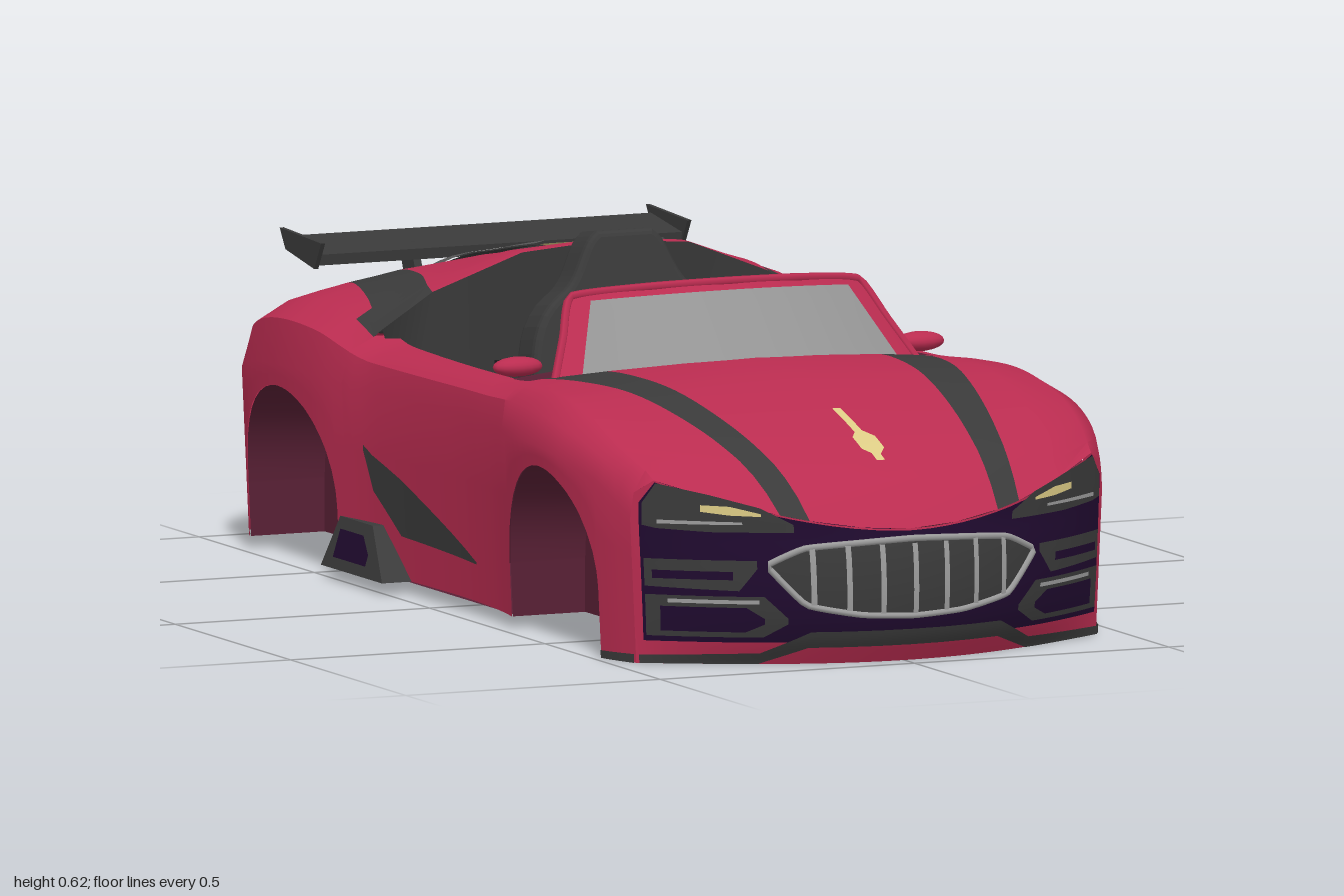
import * as THREE from 'three';
import { toCreasedNormals } from 'three/addons/utils/BufferGeometryUtils.js';

const paint = (name, color) => {
  const m = new THREE.MeshStandardMaterial({ color, side: THREE.DoubleSide });
  m.name = name;
  return m;
};
const red = paint('red', 0xba2c50), dark = paint('charcoal', 0x3a3a3a), maroon = paint('maroon', 0x592035),
  purple = paint('deep purple', 0x1f0a2e), glass = paint('glass grey', 0x949494), silver = paint('silver', 0x9c9c9c),
  blue = paint('blue', 0x2468b4), gold = paint('pale gold', 0xdccb85), yellow = paint('plate yellow', 0x947010),
  black = paint('black', 0x1c1c1e);

// smooth curve through ascending [t, value] pairs
const curve = (...p) => t => {
  const n = p.length - 1;
  if (t <= p[0][0]) return p[0][1];
  if (t >= p[n][0]) return p[n][1];
  const i = p.findIndex((q, j) => t < p[j + 1][0]);
  const slope = j => {
    const a = p[Math.max(j - 1, 0)], b = p[Math.min(j + 1, n)];
    return (b[1] - a[1]) / (b[0] - a[0]);
  };
  const h = p[i + 1][0] - p[i][0], u = (t - p[i][0]) / h, u2 = u * u, u3 = u2 * u;
  return (2 * u3 - 3 * u2 + 1) * p[i][1] + (u3 - 2 * u2 + u) * h * slope(i)
    + (3 * u2 - 2 * u3) * p[i + 1][1] + (u3 - u2) * h * slope(i + 1);
};

// body lines along the flank (z)
const NOSE = 0.79, TAIL = -0.94, OPEN = [-0.4, 0.14], ARCHES = [0.5, -0.63], R = 0.2, HUB = 0.13;
const W = curve([-.94, .43], [-.9, .46], [-.8, .5], [-.65, .515], [-.5, .508], [-.3, .477], [0, .465], [.2, .475], [.4, .505], [.55, .515], [.65, .505], [.73, .487], [.79, .464]);
const ridge = curve([-.94, .39], [-.9, .418], [-.8, .478], [-.65, .535], [-.5, .575], [-.4, .602], [.14, .465], [.25, .472], [.42, .455], [.58, .41], [.7, .352], [.755, .3], [.79, .25]);
const crestX = curve([-.94, .37], [-.8, .43], [-.65, .45], [-.4, .435], [0, .425], [.25, .43], [.5, .45], [.65, .45], [.79, .43]);
const crestY = curve([-.94, .36], [-.8, .443], [-.65, .483], [-.5, .48], [-.4, .445], [-.32, .432], [.14, .432], [.3, .445], [.45, .447], [.6, .42], [.7, .385], [.79, .34]);
const waistY = curve([-.94, .3], [-.8, .35], [-.6, .37], [-.3, .36], [.5, .365], [.7, .33], [.79, .27]);
const swell = curve([-.9, .012], [-.7, .024], [-.5, .022], [-.35, .012]);
const bow = curve([-.94, -.03], [-.8, -.015], [-.6, 0], [-.5, .025], [-.4, .07], [.1, 0], [.25, .07], [.5, .1], [.66, .14], [.79, .195]);
const stripeIn = curve([-.94, .21], [-.8, .24], [-.5, .3], [-.4, .33], [.2, .27], [.5, .235], [.79, .185]);
const stripeOut = curve([-.94, .28], [-.8, .32], [-.5, .4], [-.4, .42], [.2, .37], [.5, .31], [.79, .235]);

const sill = z => {
  for (const c of ARCHES) if (Math.abs(z - c) <= R) return HUB + Math.sqrt(R * R - (z - c) ** 2);
  return z > .7 ? .008 : .03;
};
const sideX = (z, y) => W(z) - .014 * Math.max(waistY(z) - y, 0) / .3;
const topY = (x, z) => crestY(z) + (ridge(z) - crestY(z)) * (1 - (Math.abs(x) / crestX(z)) ** (z > 0 ? 1.8 : 2.5));
const shoulder = z => [(crestX(z) + W(z)) / 2 + swell(z), (crestY(z) + waistY(z)) / 2 + swell(z)];

// half cross-section, centre line to sill; the open one dips into the cockpit
function section(z, open) {
  const w = W(z), b = sill(z), xf = crestX(z), yf = crestY(z), yw = Math.max(waistY(z), b + .02);
  const xi = stripeIn(z), xo = stripeOut(z), k = open ? 0 : bow(z), ym = (yw + Math.max(b, HUB)) / 2;
  const upper = open ? [[0, .06], [.2, .06], [.34, .08], [.36, .28], [.385, yf]]
    : [0, xi / 2, xi, xo, (xo + xf) / 2].map(x => [x, topY(x, z)]);
  const lower = [[w, yw], [sideX(z, ym), ym], [sideX(z, b), b]];
  return [...[...upper, [xf, yf], shoulder(z)].map(([x, y]) => [x, y, z + k * (1 - (x / w) ** 2)]),
    ...lower.map(([x, y]) => [x, y, z])];
}

// shell materials: red, charcoal stripe and bulkhead, maroon tub, purple dashboard
function shellColour(c, z) {
  if (z > OPEN[0] && z < OPEN[0] + .001) return c < 4 ? 1 : 0;
  if (z > OPEN[0] && z < OPEN[1] - .001) return c < 4 ? 2 : 0;
  if (z > 0 && z < OPEN[1]) return c < 4 ? 3 : 0;
  if (z > 0 && z < .2) return c < 4 ? 2 : 0;
  if (z < OPEN[0] && z > -.46 && c > 2 && c < 5) return 1;
  return c === 2 && z > -.84 ? 1 : 0;
}
function bodyShell() {
  const stations = [];
  for (let i = 0; i <= 58; i++) stations.push(TAIL + (NOSE - TAIL) * i / 58);
  for (const c of ARCHES) {
    stations.push(c - R - .001, c + R + .001);
    for (let i = 0; i <= 18; i++) stations.push(c + .1999 * Math.cos(Math.PI * i / 18));
  }
  const rows = stations.map(z => [z, z > OPEN[0] && z < OPEN[1]]);
  rows.push([OPEN[0], false], [OPEN[0] + .001, true], [OPEN[1] - .001, true], [OPEN[1], false]);
  rows.sort((a, b) => a[0] - b[0]);
  const pos = [], lists = [[], [], [], []];
  rows.forEach(([z, open], j) => {
    const half = section(z, open);
    pos.push(...half.slice(1).reverse().map(([x, y, q]) => [-x, y, q]).flat(), ...half.flat());
    if (!j) return;
    for (let i = 0; i < 18; i++) {
      const c = i < 9 ? 8 - i : i - 9, a = (j - 1) * 19 + i, d = a + 19;
      lists[shellColour(c, (z + rows[j - 1][0]) / 2)].push(a, d, a + 1, d, d + 1, a + 1);
    }
  });
  const g = new THREE.BufferGeometry();
  g.setAttribute('position', new THREE.Float32BufferAttribute(pos, 3));
  g.setIndex(lists.flat());
  let start = 0;
  lists.forEach((l, m) => { g.addGroup(start, l.length, m); start += l.length; });
  return toCreasedNormals(g, .7);
}

// surface strip: stations [a, low, high], laid on a surface by map(a, b)
function band(st, map, n = 6, rows = 6) {
  const pos = [], idx = [];
  let cols = 0;
  st.forEach((s, i) => {
    for (let k = i ? 1 : n; k <= n; k++, cols++) {
      const p = st[Math.max(i - 1, 0)], f = k / n, v = [0, 1, 2].map(q => p[q] + (s[q] - p[q]) * f);
      for (let r = 0; r <= rows; r++) pos.push(...map(v[0], v[1] + (v[2] - v[1]) * r / rows));
    }
  });
  for (let c = 0; c < cols - 1; c++) for (let r = 0; r < rows; r++) {
    const a = c * (rows + 1) + r, b = a + rows + 1;
    idx.push(a, b, a + 1, b, b + 1, a + 1);
  }
  const g = new THREE.BufferGeometry();
  g.setAttribute('position', new THREE.Float32BufferAttribute(pos, 3));
  g.setIndex(idx);
  g.computeVertexNormals();
  return g;
}

// curved end faces
const endFace = (z0, dir, bulge) => (lift, s = 1) => (x, y) => {
  const u = x / W(z0);
  return [s * x * sideX(z0, y) / W(z0), y, z0 + dir * (Math.abs(bow(z0)) * (1 - u * u) + bulge(y) * (1 - u ** 4) + lift)];
};
const front = endFace(NOSE, 1, curve([.01, -.03], [.06, 0], [.12, .012], [.2, .01], [.25, 0]));
const rear = endFace(TAIL, -1, curve([.03, 0], [.1, .018], [.22, .025], [.24, .015], [.32, .01], [.39, 0]));
const deck = (lift, s = 1) => (x, z) => [s * x, topY(x, z) + lift, z + bow(z) * (1 - (x / W(z)) ** 2)];
const flank = (lift, s) => (z, y) => [s * (sideX(z, y) + lift), y, z];
const screen = (u, v) => [u * (.355 - .075 * v), .455 + .14 * v - .015 * u * u, .325 - .135 * v - u * u * (.1 - .04 * v)];
const outline = pts => new THREE.Shape(pts.map(p => new THREE.Vector2(...p)));
// side-on outline [z, y] given a thickness towards -x
const sidePlate = (pts, depth) => new THREE.ExtrudeGeometry(outline(pts), { depth, bevelEnabled: false }).rotateY(-Math.PI / 2);

export function createModel() {
  const car = new THREE.Group();
  car.name = 'openSportsCar';
  const add = (name, geo, mat, x = 0, y = 0, z = 0) => {
    const m = new THREE.Mesh(geo, mat);
    m.name = name;
    m.position.set(x, y, z);
    car.add(m);
    return m;
  };
  const box = (x, y, z) => new THREE.BoxGeometry(x, y, z);
  add('bodyShell', bodyShell(), [red, dark, maroon, purple]);

  // end faces follow the last cross-sections
  const rim = (z, low) => {
    const st = [], w = W(z), xf = crestX(z), [sx, sy] = shoulder(z);
    for (let i = -12; i <= 12; i++) st.push([xf * i / 12, low, topY(xf * i / 12, z)]);
    return [[-w, low, waistY(z)], [-sx, low, sy], ...st, [sx, low, sy], [w, low, waistY(z)]];
  };
  add('frontBumper', band(rim(NOSE, .008), front(0), 2, 10), red);
  add('rearBumper', band(rim(TAIL, .03), rear(0), 2, 10), red);
  const mask = rim(NOSE, .05).slice(2, -2).map(([x, l, h]) => [x, l, h - .003]);
  add('noseMask', band([[-.453, .05, .3], ...mask, [.453, .05, .3]], front(.003), 2, 10), purple);
  add('underside', band([[-.965, -.2, .2], [-.94, -.41, .41], [-.831, -.46, .46], [-.83, -.33, .33], [-.43, -.33, .33], [-.429, -.46, .46],
    [.299, -.46, .46], [.3, -.33, .33], [.7, -.33, .33], [.701, -.47, .47], [.79, -.44, .44], [.88, -.31, .31], [.95, -.14, .14], [.965, -.02, .02]],
    (z, x) => [x, .03, z], 1, 1), maroon);

  // grille
  const grille = [[-.26, .185, .195], [-.2, .12, .222], [-.1, .1, .23], [0, .095, .234], [.1, .1, .23], [.2, .12, .222], [.26, .185, .195]];
  add('grille', band(grille, front(.006)), dark);
  const loop = [...grille.map(g => [g[0], g[2]]), ...grille.slice().reverse().map(g => [g[0], g[1]])];
  add('grilleFrame', new THREE.TubeGeometry(new THREE.CatmullRomCurve3(loop.map(p => new THREE.Vector3(...front(.008)(...p))), true, 'catmullrom', .2), 84, .006, 6, true), silver);
  for (let i = -3; i <= 3; i++) {
    const x = i * .063, lo = .1 + .02 * (x / .19) ** 2;
    add('grilleSlat', band([[x - .005, lo, .226], [x + .005, lo, .226]], front(.012), 1), silver);
  }
  add('splitter', band([[-.462, .009, .024], [-.27, .009, .03], [-.19, .04, .07], [.19, .04, .07], [.27, .009, .03], [.462, .009, .024]], front(.008)), dark);

  // windscreen and its frame
  add('windscreen', band([[-.88, .04, .9], [.88, .04, .9]], screen, 20), glass);
  add('screenFrameTop', band([[-1, .9, 1], [1, .9, 1]], screen, 20, 2), red);
  const edge = [[-1, -.05], [-1, .5], [-1, .97], [-.5, 1], [0, 1], [.5, 1], [1, .97], [1, .5], [1, -.05]].map(p => new THREE.Vector3(...screen(...p)));
  add('screenFrameRim', new THREE.TubeGeometry(new THREE.CatmullRomCurve3(edge, false, 'catmullrom', .2), 60, .008, 6), red);

  // trim on bonnet and engine cover
  add('bonnetTrim', band([[-.008, .55, .7], [.008, .55, .7]], deck(.005), 2), gold);
  add('bonnetTrimDiamond', band([[-.022, .645, .675], [0, .62, .695], [.022, .645, .675]], deck(.007)), gold);
  add('engineCoverTrim', band([[-.04, -.545, -.53], [0, -.595, -.53], [.04, -.545, -.53]], deck(.007)), gold);

  // tail
  add('tailPanel', band([[-.25, .345, .37], [-.1, .297, .38], [.1, .297, .38], [.25, .345, .37]], rear(.004)), dark);
  add('tailVent', band([[-.045, .335, .365], [.045, .335, .365]], rear(.007)), purple);
  add('numberPlate', band([[-.13, .215, .29], [.13, .215, .29]], rear(.006)), yellow);
  add('wing', box(.72, .02, .135), dark, 0, .535, -.862).rotation.x = .13;

  // seat, steering wheel
  const back = new THREE.Shape();
  back.moveTo(-.17, 0);
  back.bezierCurveTo(-.19, .2, -.2, .3, -.13, .35);
  back.bezierCurveTo(-.08, .38, -.08, .44, -.05, .46);
  back.lineTo(.05, .46);
  back.bezierCurveTo(.08, .44, .08, .38, .13, .35);
  back.bezierCurveTo(.2, .3, .19, .2, .17, 0);
  const seatBack = new THREE.ExtrudeGeometry(back, { depth: .055, bevelSize: .012, bevelThickness: .015, bevelSegments: 3 });
  add('seatBack', seatBack, dark, 0, .155, -.25).rotation.x = -.15;
  add('seatCushion', box(.4, .16, .26), dark, 0, .14, -.1);
  add('steeringWheel', new THREE.TorusGeometry(.07, .012, 8, 28), black, 0, .475, .085).rotation.x = .6;
  add('steeringSpoke', box(.13, .02, .012), black, 0, .475, .085).rotation.x = .6;
  add('steeringLowerSpoke', box(.05, .06, .014), blue, 0, .446, .066).rotation.x = .6;
  add('steeringHub', new THREE.CylinderGeometry(.025, .025, .025, 16), black, 0, .475, .083).rotation.x = .6 + Math.PI / 2;
  add('steeringColumn', new THREE.CylinderGeometry(.018, .025, .1, 12), dark, 0, .45, .125).rotation.x = .6 + Math.PI / 2;

  // intake scoop, leaning in towards its top
  const scoopGeo = sidePlate([[-.18, .03], [-.28, .12], [-.42, .12], [-.445, .03]], .07);
  const sp = scoopGeo.attributes.position;
  for (let i = 0; i < sp.count; i++) sp.setX(i, sp.getX(i) - .3 * (sp.getY(i) - .03));
  scoopGeo.computeVertexNormals();
  const endPlate = sidePlate([[-.77, .56], [-.8, .51], [-.925, .53], [-.95, .566]], .008);

  for (const s of [-1, 1]) {
    // front lights and intakes
    add('headlight', band([[.215, .25, .264], [.27, .25, .294], [.35, .25, .317], [.43, .255, .336], [.45, .26, .3]], front(.007, s)), dark);
    add('headlightStrip', band([[.3, .264, .269], [.43, .264, .271]], front(.011, s), 10, 1), silver);
    add('headlightBeam', band([[.27, .279, .284], [.32, .281, .297], [.365, .287, .299]], front(.011, s)), gold);
    add('upperIntake', band([[.28, .185, .2], [.31, .145, .2], [.45, .15, .2]], front(.007, s)), dark);
    add('upperIntakeInset', band([[.32, .165, .18], [.44, .165, .18]], front(.01, s), 10, 1), purple);
    add('lowerIntake', band([[.23, .085, .095], [.27, .06, .135], [.45, .06, .135]], front(.007, s)), dark);
    add('intakeInset', band([[.27, .085, .095], [.3, .07, .115], [.43, .07, .115]], front(.01, s)), purple);
    add('intakeStrip', band([[.28, .122, .129], [.42, .122, .129]], front(.012, s), 10, 1), silver);
    add('splitterEnd', band([[.705, .008, .022], [.79, .008, .024]], flank(.004, s)), dark);

    // wheel housings
    for (const c of ARCHES) {
      add('wheelLiner', band([[-.1, 0, 1], [0, 0, 1], [Math.PI, 0, 1], [Math.PI + .1, 0, 1]], (a, b) => {
        const t = Math.min(Math.max(a, 0), Math.PI), y = HUB + R * Math.sin(t) - Math.abs(a - t), z = c + R * Math.cos(t);
        return [s * (.33 + (sideX(z, y) - .332) * b), y, z];
      }, 20, 1), maroon);
      const arc = [];
      for (let i = 0; i <= 20; i++) {
        const z = c - .1999 * Math.cos(Math.PI * i / 20);
        arc.push([z, .03, sill(z)]);
      }
      add('wheelHousingWall', band(arc, (z, y) => [s * .33, y, z], 1, 1), maroon);
    }

    // flank
    add('flankWedge', band([[-.33, .25, .26], [-.3, .18, .245], [-.2, .11, .215], [.12, .1, .104]], flank(.006, s)), dark);
    add('sillScoop', scoopGeo, dark, s * .512).scale.x = s;
    add('sillScoopOpening', band([[-.4, .05, .1], [-.3, .05, .1], [-.26, .05, .07]], (z, y) => [s * (.515 - .3 * (y - .03)), y, z], 1, 1), purple);
    const mirror = add('mirror', new THREE.SphereGeometry(1, 16, 10), red, s * .395, .458, .15);
    mirror.scale.set(.048, .018, .026);
    add('mirrorGlass', box(.065, .02, .008), black, s * .395, .458, .126);
    add('screenPillar', band([[.88, -.05, 1], [1, -.05, 1]], (u, v) => screen(s * u, v)), red);

    // engine cover vents
    add('coverVent', band([[.06, -.77, -.51], [.15, -.77, -.48]], deck(.005, s)), dark);
    add('coverVentRail', band([[.148, -.78, -.475], [.168, -.78, -.48]], deck(.008, s), 2), silver);
    add('coverVentFoot', band([[.08, -.505, -.465], [.15, -.53, -.47]], deck(.008, s)), silver);

    // tail lights, exhausts, wing supports
    add('tailLightSurround', band([[.2, .29, .325], [.27, .26, .352], [.37, .265, .358], [.42, .28, .312]], rear(.005, s)), dark);
    add('tailLight', band([[.25, .3, .307], [.28, .283, .335], [.38, .292, .335]], rear(.009, s)), red);
    add('tailLightBar', band([[.25, .302, .31], [.385, .31, .318]], rear(.013, s), 6, 1), black);
    for (const x of [.265, .335]) {
      add('exhaust', new THREE.CylinderGeometry(.03, .03, .07, 8, 1, true), dark, s * x, .1, -.962).rotation.x = Math.PI / 2;
      add('exhaustRim', new THREE.TorusGeometry(.028, .005, 6, 8), dark, s * x, .1, -.993);
      add('exhaustBore', new THREE.CircleGeometry(.028, 8), black, s * x, .1, -.983);
    }
    add('wingEndPlate', endPlate, dark, s * .36 + .004);
    add('wingStrut', box(.015, .11, .05), dark, s * .15, .482, -.84).rotation.x = -.4;
    add('seatStripe', box(.04, .36, .008), blue, s * .09, .345, -.209).rotation.x = -.15;
    add('seatCushionStripe', box(.04, .008, .23), blue, s * .09, .222, -.087);
  }
  return car;
}
